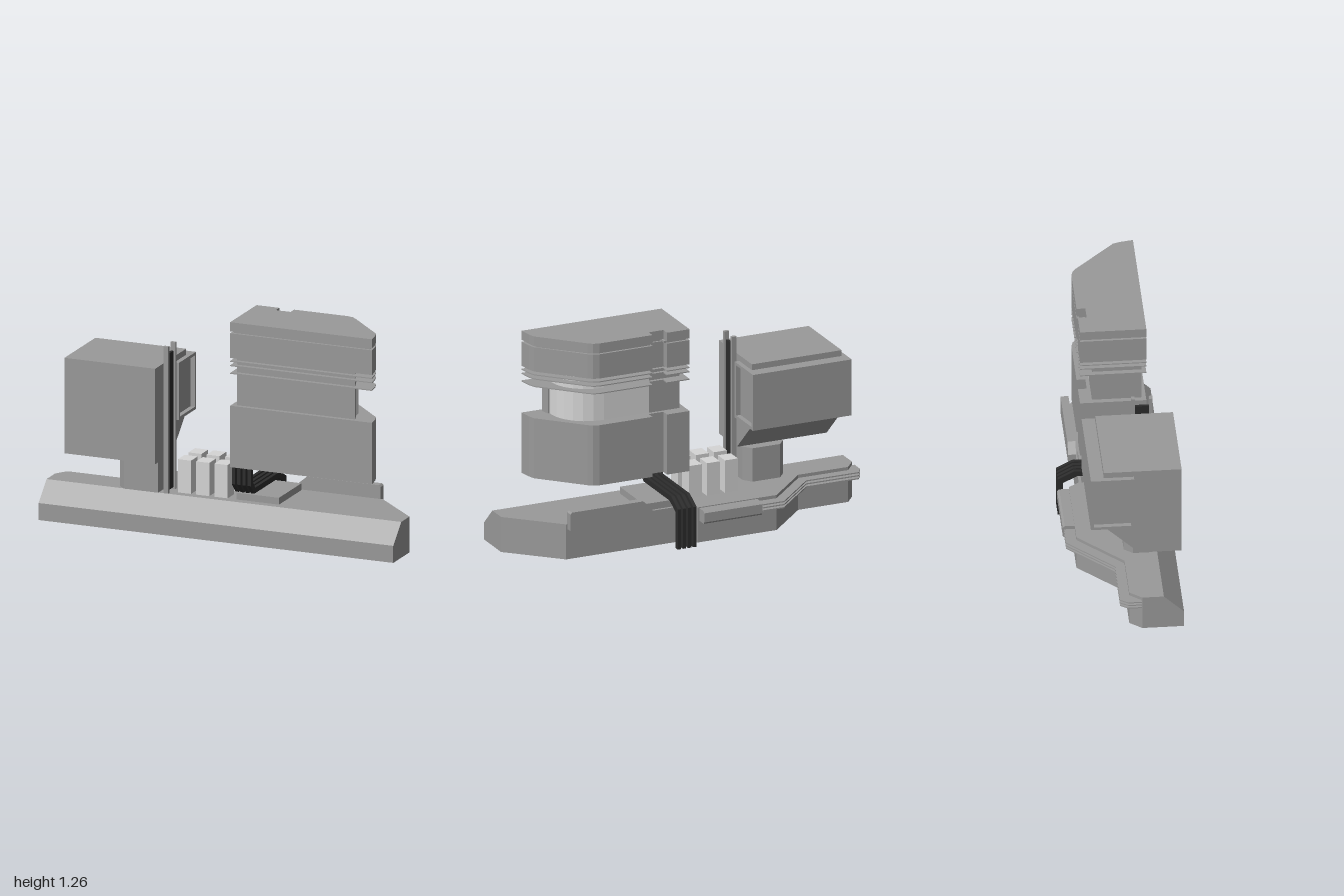
import * as THREE from 'three';

export function createModel() {
  const mat = (name, color, side = THREE.FrontSide) => {
    const m = new THREE.MeshStandardMaterial({ color, side });
    m.name = name;
    return m;
  };
  const grey = mat('hull grey', 0x9a9a9a, THREE.DoubleSide);
  const light = mat('pale grey', 0xd6d6d6);
  const dark = mat('cable black', 0x2c2c2c);

  // Everything is built along the hull (x = length, z = width), then turned.
  const model = new THREE.Group();
  model.name = 'structure';
  const add = (name, geometry, material = grey, parent = model) => {
    const mesh = new THREE.Mesh(geometry, material);
    mesh.name = name;
    parent.add(mesh);
    return mesh;
  };
  const group = (name) => {
    const g = new THREE.Group();
    g.name = name;
    model.add(g);
    return g;
  };

  // Stack of plan outlines [x, z] at given heights; the bottom may stay open.
  const loft = (rings, heights, openBottom = false) => {
    const flat = rings.map((r) => r.map(([x, z]) => new THREE.Vector2(x, z)));
    if (THREE.ShapeUtils.isClockWise(flat[0])) flat.forEach((r) => r.reverse());
    const pos = [];
    const put = (level, i) => pos.push(flat[level][i].x, heights[level], flat[level][i].y);
    const n = flat[0].length;
    for (let l = 0; l < flat.length - 1; l++) {
      for (let i = 0; i < n; i++) {
        const j = (i + 1) % n;
        put(l, i); put(l + 1, i); put(l + 1, j);
        put(l, i); put(l + 1, j); put(l, j);
      }
    }
    const top = flat.length - 1;
    for (const [a, b, c] of THREE.ShapeUtils.triangulateShape(flat[top], [])) {
      put(top, a); put(top, c); put(top, b);
    }
    if (!openBottom) {
      for (const [a, b, c] of THREE.ShapeUtils.triangulateShape(flat[0], [])) {
        put(0, a); put(0, b); put(0, c);
      }
    }
    const g = new THREE.BufferGeometry();
    g.setAttribute('position', new THREE.Float32BufferAttribute(pos, 3));
    g.computeVertexNormals();
    return g;
  };
  const slab = (outline, y0, y1) => loft([outline, outline], [y0, y1]);

  // Box given by its limits.
  const box = (x0, x1, y0, y1, z0, z1) =>
    new THREE.BoxGeometry(x1 - x0, y1 - y0, z1 - z0)
      .translate((x0 + x1) / 2, (y0 + y1) / 2, (z0 + z1) / 2);

  // Side profile [z, y], swept along x from x0 to x1.
  const sweep = (profile, x0, x1, hole) => {
    const vec = (p) => p.map(([z, y]) => new THREE.Vector2(-z, y));
    const shape = new THREE.Shape(vec(profile));
    if (hole) shape.holes.push(new THREE.Path(vec(hole)));
    return new THREE.ExtrudeGeometry(shape, { depth: x1 - x0, bevelEnabled: false })
      .rotateY(Math.PI / 2).translate(x0, 0, 0);
  };
  const rect = (z0, z1, y0, y1) => [[z0, y0], [z1, y0], [z1, y1], [z0, y1]];

  // Hull: hollow shell with a bevelled front edge
  const hull = group('hull');
  const hullPlan = (front) => [
    [-1.046, front], [1.13, front], [1.13, -0.041], [0.85, -0.306], [0.1, -0.306],
    [0.06, -0.365], [-0.43, -0.365], [-0.68, -0.115], [-0.99, -0.115], [-1.046, -0.046],
  ];
  add('hullShell', loft([hullPlan(0.19), hullPlan(0.19), hullPlan(0.076)], [0, 0.1, 0.21], true), grey, hull);

  // Thin rails around the rear left edge
  const railPlan = [
    [-0.32, -0.425], [-0.45, -0.425], [-0.705, -0.17], [-1.03, -0.17], [-1.06, -0.125],
    [-1.06, -0.05], [-1.0, -0.05], [-0.68, -0.08], [-0.42, -0.33], [-0.32, -0.33],
  ];
  for (const y of [0.148, 0.166, 0.184]) add('edgeRail', slab(railPlan, y, y + 0.007), grey, hull);

  // Rear locker, rear plate and cable tray
  add('rearLocker', sweep([[-0.36, 0.13], [-0.425, 0.13], [-0.432, 0.14], [-0.432, 0.195],
    [-0.42, 0.205], [-0.36, 0.205]], -0.31, 0.05), grey, hull);
  const plate = new THREE.Shape([[0.33, 0.18], [0.84, 0.18], [0.84, 0.28], [0.83, 0.29],
    [0.39, 0.29], [0.33, 0.24]].map(([x, y]) => new THREE.Vector2(x, y)));
  add('rearPlate', new THREE.ExtrudeGeometry(plate, { depth: 0.045, bevelEnabled: false })
    .translate(0, 0, -0.345), grey, hull);
  add('cableTray', box(0.1, 0.36, 0.21, 0.25, -0.29, 0.03), grey, hull);

  // Left block on its pillar
  const block = group('leftBlock');
  add('blockBody', sweep([[0.19, 0.41], [0.19, 0.97], [-0.25, 0.97], [-0.25, 0.6], [-0.05, 0.41]],
    -0.887, -0.33), grey, block);
  add('blockRearPanel', box(-0.887, -0.33, 0.6, 0.935, -0.325, -0.25), grey, block);
  for (const x of [-0.915, -0.33]) {
    add('blockSideFrame', sweep(rect(-0.325, -0.08, 0.6, 0.935), x, x + 0.028,
      rect(-0.308, -0.097, 0.617, 0.918)), grey, block);
  }
  add('blockPillar', slab([[-0.57, 0.08], [-0.36, 0.08], [-0.36, -0.06], [-0.4, -0.11],
    [-0.57, -0.11], [-0.61, -0.06], [-0.61, 0.04]], 0.21, 0.41), grey, block);

  // Ladder on the inner side of the block
  const ladder = group('ladder');
  for (const z of [0.065, -0.035]) {
    add('ladderRail', box(-0.33, -0.3, 0.21, 1.07, z - 0.01, z + 0.01), grey, ladder);
  }
  add('ladderBack', box(-0.328, -0.312, 0.22, 1.02, -0.025, 0.055), dark, ladder);

  // Six pale lockers, two rows of three
  for (const x of [-0.22, -0.108, 0.004]) {
    for (const z of [-0.166, -0.018]) {
      add('paleLocker', box(x - 0.04, x + 0.04, 0.21, 0.405, z - 0.047, z + 0.047), light);
    }
  }

  // Tower: stacked slices with a slot in the rear wall
  const tower = group('tower');
  const towerPlan = [
    [0.08, 0.075], [0.95, 0.075], [0.938, 0.0], [0.925, -0.04], [0.7, -0.27], [0.675, -0.29],
    [0.64, -0.3], [0.31, -0.3], [0.31, -0.25], [0.22, -0.25], [0.22, -0.3], [0.08, -0.3],
  ];
  const insetPlan = towerPlan.map(([x, z]) => [0.5 + (x - 0.5) * 0.96, -0.11 + (z + 0.11) * 0.92]);
  add('towerLower', slab(towerPlan, 0.41, 0.77), grey, tower);
  add('towerUpper', slab(towerPlan, 1.05, 1.195), grey, tower);
  add('towerSeam', slab(insetPlan, 1.195, 1.206), grey, tower);
  add('towerRoof', slab(towerPlan, 1.206, 1.26), grey, tower);
  for (const y of [0.957, 1.002, 1.027]) add('towerFin', slab(towerPlan, y, y + 0.006), grey, tower);

  // Recessed tower core: grey front wall, pale rounded rear
  add('towerCoreFront', slab([[0.11, 0.05], [0.835, 0.05], [0.82, 0.0], [0.3, 0.0],
    [0.3, -0.23], [0.11, -0.23]], 0.77, 1.05), grey, tower);
  const round = [[0.3, 0.0], [0.81, 0.0]];
  for (let i = 0; i <= 6; i++) {
    const a = (i / 6) * Math.PI / 2;
    round.push([0.58 + 0.23 * Math.cos(a), -0.02 - 0.21 * Math.sin(a)]);
  }
  round.push([0.3, -0.23]);
  add('towerCoreRear', slab(round, 0.77, 1.05), light, tower);

  // Four cables bending from the tower over the rear edge
  const cableProfile = [
    [0.085, 0.41], [0.085, 0.315], [0.035, 0.258], [-0.315, 0.258], [-0.395, 0.215], [-0.395, 0],
    [-0.425, 0], [-0.425, 0.24], [-0.335, 0.29], [0.02, 0.29], [0.055, 0.33], [0.055, 0.41],
  ];
  const cables = group('cables');
  for (let i = 0; i < 4; i++) {
    const x = 0.095 + i * 0.032;
    add('cable', sweep(cableProfile, x, x + 0.02), dark, cables);
  }

  model.rotation.y = -Math.PI / 6;
  const root = new THREE.Group();
  root.name = 'model';
  root.add(model);
  return root;
}
